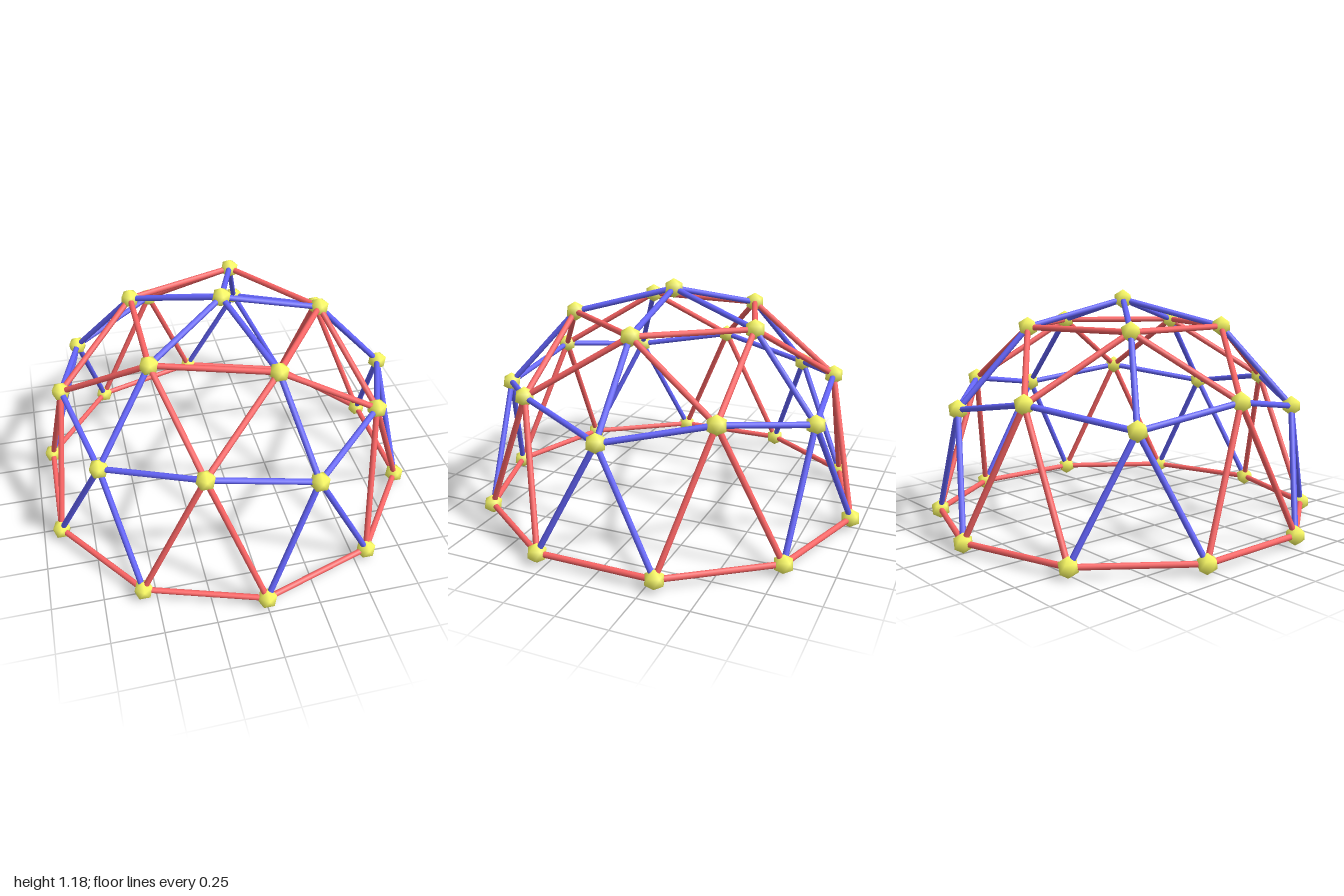
import * as THREE from 'three';
import { mergeVertices } from 'three/addons/utils/BufferGeometryUtils.js';

const RED = new THREE.MeshStandardMaterial({ color: 0xff6666 });
const BLUE = new THREE.MeshStandardMaterial({ color: 0x6666ff });
const YELLOW = new THREE.MeshStandardMaterial({ color: 0xffff66 });
const NODE_R = 0.05, STRUT_R = 0.0145;

// Evenly spaced points on a horizontal circle, starting at a given angle
function ring(count, radius, y, startDeg) {
  return Array.from({ length: count }, (_, i) => {
    const a = THREE.MathUtils.degToRad(startDeg + (360 / count) * i);
    return new THREE.Vector3(radius * Math.cos(a), y, radius * Math.sin(a));
  });
}

// Smooth-shaded icosahedron standing on a corner
function ballGeometry() {
  const faceted = new THREE.IcosahedronGeometry(NODE_R, 0);
  faceted.deleteAttribute('normal');
  faceted.deleteAttribute('uv');
  const ball = mergeVertices(faceted);
  ball.rotateX(-Math.atan((1 + Math.sqrt(5)) / 2));
  ball.computeVertexNormals();
  return ball;
}

export function createModel() {
  const dome = new THREE.Group();
  dome.name = 'geodesicDome';

  // Joint positions, from the top down
  const apex = new THREE.Vector3(0, 1.133, 0);
  const upper = ring(5, 0.503, 1.005, 0);
  const hexJoints = ring(5, 0.814, 0.703, 36);
  const pentJoints = ring(5, 0.857, 0.618, 0);
  const base = ring(10, 0.955, NODE_R, 18);

  // Ball joints
  const ball = ballGeometry();
  const joints = new THREE.Group();
  joints.name = 'joints';
  for (const p of [apex, ...upper, ...hexJoints, ...pentJoints, ...base]) {
    const m = new THREE.Mesh(ball, YELLOW);
    m.name = 'joint';
    m.position.copy(p);
    joints.add(m);
  }

  // Struts: round bars between two joints
  const bar = new THREE.CylinderGeometry(STRUT_R, STRUT_R, 1, 10);
  const up = new THREE.Vector3(0, 1, 0);
  const longStruts = new THREE.Group();
  longStruts.name = 'longStruts';
  const shortStruts = new THREE.Group();
  shortStruts.name = 'shortStruts';
  function strut(a, b, short) {
    const d = b.clone().sub(a);
    const m = new THREE.Mesh(bar, short ? BLUE : RED);
    m.name = short ? 'shortStrut' : 'longStrut';
    m.position.copy(a).add(b).multiplyScalar(0.5);
    m.scale.y = d.length();
    m.quaternion.setFromUnitVectors(up, d.normalize());
    (short ? shortStruts : longStruts).add(m);
  }

  for (let i = 0; i < 5; i++) {
    const next = (i + 1) % 5;
    // Short struts radiate from the apex and the five-way joints
    strut(apex, upper[i], true);
    strut(pentJoints[i], upper[i], true);
    strut(pentJoints[i], hexJoints[i], true);
    strut(pentJoints[i], hexJoints[(i + 4) % 5], true);
    strut(pentJoints[i], base[2 * i], true);
    strut(pentJoints[i], base[(2 * i + 9) % 10], true);
    // Long struts form the triangles in between
    strut(upper[i], upper[next], false);
    strut(hexJoints[i], upper[i], false);
    strut(hexJoints[i], upper[next], false);
    strut(hexJoints[i], base[2 * i], false);
    strut(hexJoints[i], base[2 * i + 1], false);
  }
  // Ground ring
  base.forEach((p, i) => strut(p, base[(i + 1) % 10], false));

  dome.add(joints, longStruts, shortStruts);
  return dome;
}
